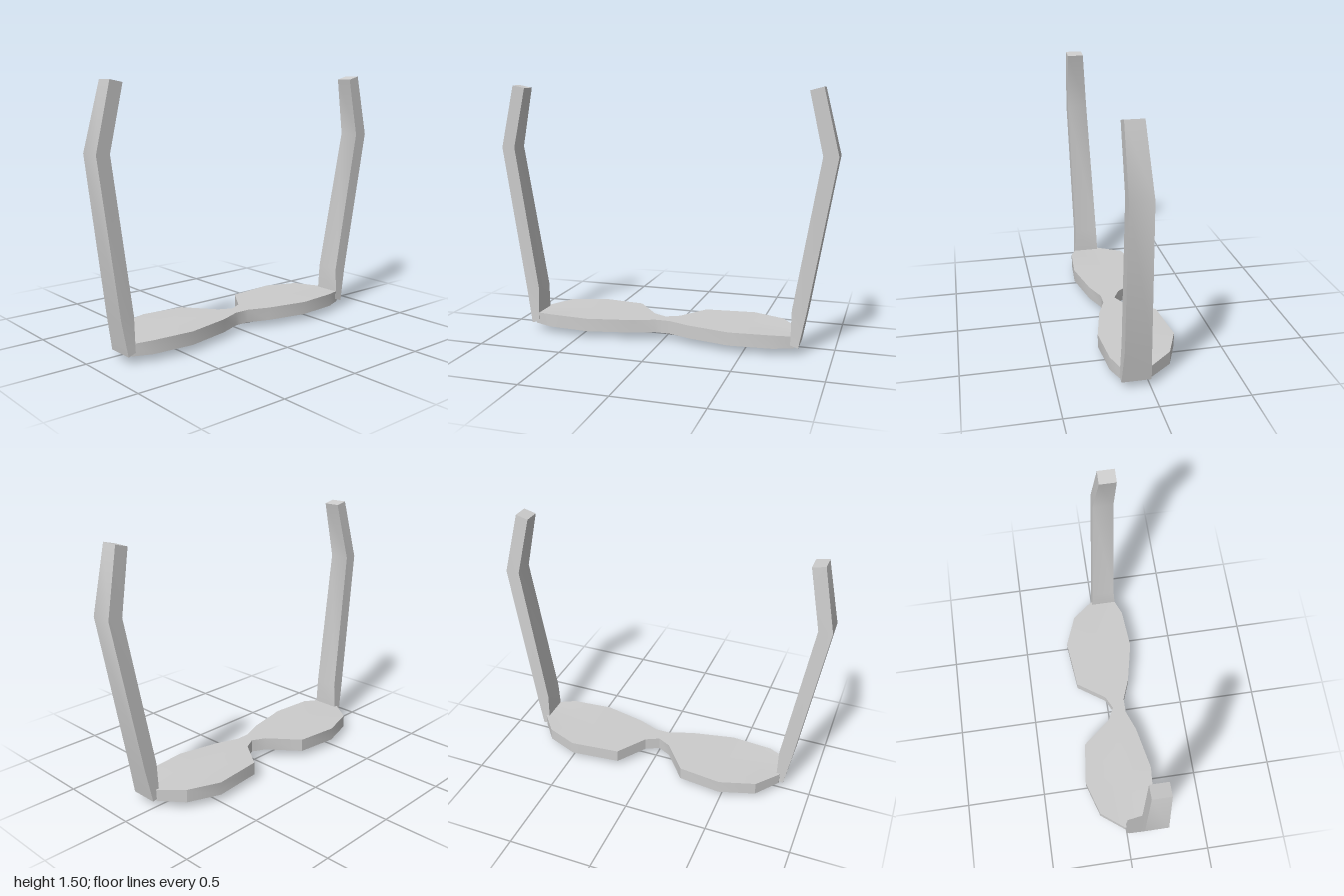
import * as THREE from 'three';
import { toCreasedNormals } from 'three/addons/utils/BufferGeometryUtils.js';

const frameGrey = new THREE.MeshStandardMaterial({ color: 0xcccccc });
frameGrey.name = 'frameGrey';

// Skin a stack of rings, listed top to bottom, each counterclockwise from above.
// skip(j, i) can leave out one quad.
function skin(name, rings, skip = () => false) {
  const pos = [];
  const n = rings[0].length;
  const tri = (...p) => {
    const [a, b, c] = p.map((q) => new THREE.Vector3(...q));
    if (b.sub(a).cross(c.sub(a)).length() > 1e-7) pos.push(...p.flat());
  };
  for (let j = 0; j < rings.length - 1; j++) {
    for (let i = 0; i < n; i++) {
      if (skip(j, i)) continue;
      const k = (i + 1) % n;
      const a = rings[j][i], b = rings[j][k], c = rings[j + 1][i], d = rings[j + 1][k];
      tri(a, c, d);
      tri(a, d, b);
    }
  }
  const geo = new THREE.BufferGeometry();
  geo.setAttribute('position', new THREE.Float32BufferAttribute(pos, 3));
  const mesh = new THREE.Mesh(toCreasedNormals(geo, 0.5), frameGrey);
  mesh.name = name;
  return mesh;
}

// Lens plate: flat top, upright rim and a shallow domed underside
function lens(name, outline, cx, depth) {
  const ring = (k, y) => outline.map(([x, z]) => [cx + (x - cx) * k, y, z * k]);
  const top = outline.map(([x, z]) => [x, Math.abs(x) > 0.75 ? 0.11 : 0.12, z]);
  const dome = [1, 0.7, 0.35, 0].map((k) => ring(k, 0.042 - depth * (1 - k * k)));
  // the last rim quad lies on the seam at the bridge
  return skin(name, [ring(0, 0.12), top, ...dome],
    (j, i) => j === 1 && i === outline.length - 1);
}

// Temple arm: stations [outer x, outer y, inner x, inner y, back z, front z], top to bottom
function arm(name, side, stations) {
  const rings = stations.map(([ox, oy, ix, iy, zb, zf]) => {
    const r = [[ox, oy, zf], [ox, oy, zb], [ix, iy, zb], [ix, iy, zf]]
      .map(([x, y, z]) => [side * x, y, z]);
    return side > 0 ? r : r.reverse();
  });
  // collapse the end sections to points to close them
  const cap = (r) => {
    const c = [0, 1, 2].map((a) => r.reduce((s, p) => s + p[a] / 4, 0));
    return r.map(() => c);
  };
  return skin(name, [cap(rings[0]), ...rings, cap(rings[rings.length - 1])]);
}

export function createModel() {
  const group = new THREE.Group();
  group.name = 'glasses';

  group.add(lens('leftLens', [
    [-0.01, 0.11], [0.04, 0.11], [0.17, 0.16], [0.42, 0.215], [0.67, 0.195], [0.785, 0.15],
    [0.785, -0.01], [0.68, -0.14], [0.49, -0.215], [0.19, -0.185], [0.07, -0.01], [-0.01, 0.03],
  ], 0.43, 0.04));
  group.add(lens('rightLens', [
    [-0.01, 0.03], [-0.09, -0.01], [-0.235, -0.19], [-0.49, -0.22], [-0.7, -0.155], [-0.81, -0.01],
    [-0.81, 0.15], [-0.7, 0.195], [-0.45, 0.215], [-0.18, 0.16], [-0.05, 0.11], [-0.01, 0.11],
  ], -0.45, 0.02));

  group.add(arm('leftArm', 1, [
    [0.91, 1.5, 0.835, 1.48, 0.07, 0.17],
    [1, 1.13, 0.915, 1.13, 0.04, 0.165],
    [0.85, 0.25, 0.768, 0.26, 0.005, 0.15],
    [0.81, 0.045, 0.765, 0.06, -0.005, 0.16],
  ]));
  group.add(arm('rightArm', -1, [
    [0.915, 1.5, 0.84, 1.485, 0.07, 0.17],
    [1, 1.13, 0.92, 1.13, 0.04, 0.165],
    [0.87, 0.25, 0.79, 0.26, 0.005, 0.15],
    [0.835, 0.045, 0.79, 0.06, -0.005, 0.16],
  ]));
  return group;
}
